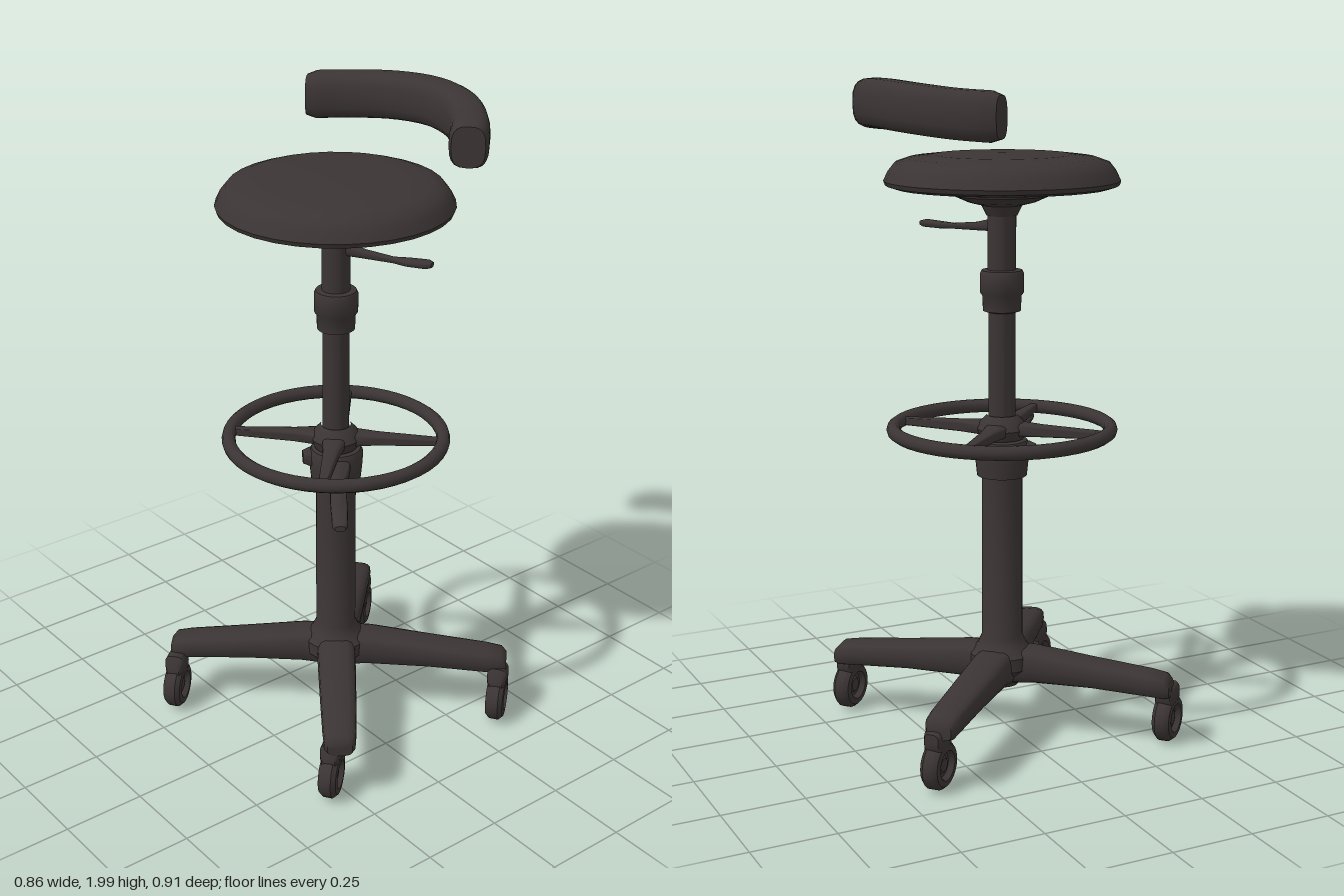
import * as THREE from 'three';
import { toCreasedNormals } from 'three/addons/utils/BufferGeometryUtils.js';

const CX = -0.035, CZ = -0.025; // column axis

// Skin rounded-box sections [x, y, z, width, height] along a path.
function loft(sections, sides = 16, power = 0.6) {
  const pos = [], idx = [], n = sections.length;
  const centre = sections.map(s => new THREE.Vector3(s[0], s[1], s[2]));
  const soft = v => Math.sign(v) * Math.pow(Math.abs(v), power);
  sections.forEach(([x, y, z, w, h], i) => {
    const t = centre[Math.min(i + 1, n - 1)].clone().sub(centre[Math.max(i - 1, 0)]).setY(0).normalize();
    for (let j = 0; j < sides; j++) {
      const a = (j / sides) * Math.PI * 2;
      const s = soft(Math.cos(a)) * w / 2;
      pos.push(x - t.z * s, y + soft(Math.sin(a)) * h / 2, z + t.x * s);
    }
  });
  for (let i = 0; i < n - 1; i++) {
    for (let j = 0; j < sides; j++) {
      const k = (j + 1) % sides, a = i * sides + j, b = i * sides + k;
      idx.push(a, a + sides, b, b, a + sides, b + sides);
    }
  }
  // end caps
  const first = n * sides, last = first + 1, off = (n - 1) * sides;
  pos.push(...centre[0].toArray(), ...centre[n - 1].toArray());
  for (let j = 0; j < sides; j++) {
    const k = (j + 1) % sides;
    idx.push(first, j, k, last, off + k, off + j);
  }
  const g = new THREE.BufferGeometry();
  g.setAttribute('position', new THREE.Float32BufferAttribute(pos, 3));
  g.setIndex(idx);
  return toCreasedNormals(g, 0.9);
}

// Straight loft between two plan points; steps are [fraction, y, width, height].
function arm(x0, z0, x1, z1, steps) {
  return loft(steps.map(([f, y, w, h]) => [x0 + (x1 - x0) * f, y, z0 + (z1 - z0) * f, w, h]));
}

// Turned part; profile runs from bottom to top.
function turned(profile, segments = 32) {
  const g = new THREE.LatheGeometry(profile.map(p => new THREE.Vector2(p[0], p[1])), segments);
  return toCreasedNormals(g, 0.7);
}

export function createModel() {
  const model = new THREE.Group();
  model.name = 'stool';
  const charcoal = new THREE.MeshStandardMaterial({ color: 0x3b3434 });
  charcoal.name = 'charcoal';

  const add = (name, geometry, x = 0, y = 0, z = 0, parent = model) => {
    const mesh = new THREE.Mesh(geometry, charcoal);
    mesh.name = name;
    mesh.position.set(x, y, z);
    parent.add(mesh);
    return mesh;
  };

  // Seat cushion and its mounting plate
  add('seat', turned([
    [0, 1.675], [0.2, 1.675], [0.315, 1.682], [0.34, 1.69], [0.345, 1.703], [0.332, 1.73],
    [0.312, 1.755], [0.275, 1.768], [0.2, 1.777], [0, 1.781],
  ]), CX - 0.003, 0, CZ);
  add('seatMount', turned([
    [0, 1.6], [0.045, 1.6], [0.06, 1.63], [0.1, 1.64], [0.145, 1.66], [0.15, 1.68], [0, 1.68],
  ]), CX, 0, CZ);

  // Curved backrest
  const curve = new THREE.CatmullRomCurve3([
    [-0.415, 1.904, -0.213], [-0.33, 1.91, -0.295], [-0.2, 1.922, -0.37], [-0.045, 1.93, -0.398],
    [0.1, 1.925, -0.372], [0.21, 1.912, -0.305], [0.287, 1.904, -0.23],
  ].map(p => new THREE.Vector3(...p)));
  const rest = [];
  for (let i = 0; i <= 24; i++) {
    const p = curve.getPoint(i / 24), e = Math.min(i, 24 - i);
    const k = e === 0 ? 0.85 : 1;
    rest.push([p.x, p.y, p.z, 0.112 * k, 0.138 * k]);
  }
  add('backrest', loft(rest, 20, 0.68));

  // Column, collars and base hub
  add('upperColumn', turned([[0.04, 0.9], [0.04, 1.34], [0.042, 1.4], [0.042, 1.64]]), CX, 0, CZ);
  add('heightCollar', turned([
    [0.04, 1.315], [0.056, 1.32], [0.058, 1.365], [0.065, 1.375], [0.065, 1.43], [0.06, 1.44], [0.04, 1.442],
  ]), CX, 0, CZ);
  add('lowerColumn', turned([
    [0, 0.162], [0.05, 0.162], [0.065, 0.19], [0.1, 0.225], [0.1, 0.265], [0.075, 0.29],
    [0.062, 0.32], [0.061, 0.84],
  ]), CX, 0, CZ);
  add('clampCollar', turned([
    [0.06, 0.82], [0.075, 0.822], [0.08, 0.87], [0.083, 0.915], [0.075, 0.93], [0.04, 0.935],
  ]), CX, 0, CZ);

  // Levers
  add('seatLever', arm(CX, CZ, 0.225, -0.165, [
    [0, 1.575, 0.045, 0.045], [0.3, 1.563, 0.025, 0.025], [0.6, 1.558, 0.02, 0.017],
    [0.75, 1.558, 0.04, 0.02], [0.95, 1.56, 0.04, 0.022], [1, 1.56, 0.025, 0.014],
  ]));
  add('clampLever', arm(CX, CZ, 0.34, 0.255, [
    [0, 0.89, 0.1, 0.07], [0.25, 0.895, 0.075, 0.045], [0.4, 0.903, 0.045, 0.032],
    [0.7, 0.905, 0.05, 0.03], [0.96, 0.905, 0.045, 0.026], [1, 0.905, 0.03, 0.016],
  ]));
  add('clampKnob', arm(CX, CZ, -0.09, 0.06, [
    [0, 0.9, 0.07, 0.06], [0.8, 0.9, 0.06, 0.05], [1, 0.9, 0.04, 0.035],
  ]));

  // Foot ring with four spokes
  const footRing = new THREE.Group();
  footRing.name = 'footRing';
  footRing.position.set(CX, 0.965, CZ);
  model.add(footRing);
  const hoop = new THREE.TorusGeometry(0.324, 0.021, 10, 48).rotateX(Math.PI / 2);
  add('hoop', hoop, 0, 0, 0, footRing);
  add('ringHub', turned([
    [0.04, -0.035], [0.065, -0.03], [0.075, 0], [0.065, 0.022], [0.045, 0.042],
  ]), 0, 0, 0, footRing);
  for (let i = 0; i < 4; i++) {
    const spoke = add('spoke', arm(0.04, 0, 0.325, 0, [
      [0, 0, 0.075, 0.045], [0.3, 0, 0.05, 0.035], [1, 0, 0.026, 0.024],
    ]), 0, 0, 0, footRing);
    spoke.rotation.y = Math.PI / 4 + i * Math.PI / 2;
  }

  // Legs with their castors: leg end x, z, then wheel centre x, z
  const wheelShape = turned([
    [0, -0.016], [0.02, -0.018], [0.026, -0.012], [0.036, -0.012], [0.044, -0.029], [0.062, -0.027],
    [0.073, -0.014], [0.074, 0.014], [0.062, 0.027], [0.044, 0.029], [0.036, 0.012], [0.026, 0.012],
    [0.02, 0.018], [0, 0.016],
  ], 20).rotateZ(-Math.PI / 2);
  const legs = [
    [-0.39, 0.365, -0.34, 0.385], [0.385, 0.29, 0.342, 0.288],
    [0.345, -0.415, 0.35, -0.375], [-0.39, -0.4, -0.355, -0.385],
  ];
  for (const [lx, lz, wx, wz] of legs) {
    add('leg', arm(CX, CZ, lx, lz, [
      [0, 0.228, 0.12, 0.12], [0.2, 0.233, 0.12, 0.105], [0.55, 0.222, 0.112, 0.082],
      [0.88, 0.208, 0.102, 0.074], [0.97, 0.202, 0.095, 0.07], [1, 0.195, 0.075, 0.048],
    ]));
    const castor = new THREE.Group();
    castor.name = 'castor';
    castor.position.set(wx, 0.084, wz);
    castor.rotation.y = 0.66;
    model.add(castor);
    add('wheel', wheelShape, 0, 0, 0, castor);
    // fork head between leg and wheel
    add('forkHead', loft([
      [0, 0.08, -0.045, 0.045, 0.05], [0, 0.075, -0.03, 0.062, 0.08],
      [0, 0.078, 0.02, 0.062, 0.07], [0, 0.06, 0.04, 0.04, 0.035],
    ]), 0, 0, 0, castor);
  }
  return model;
}
